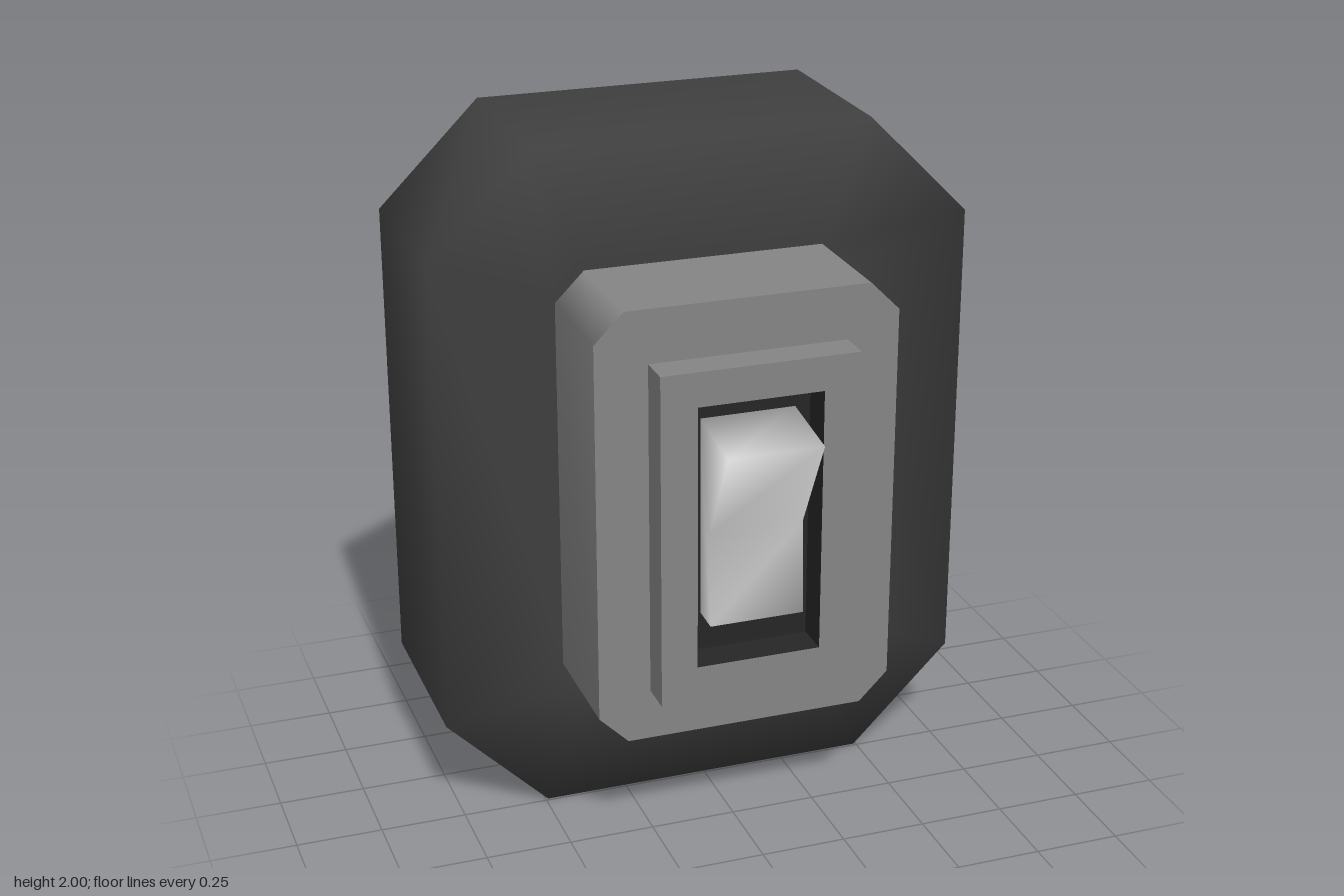
import * as THREE from 'three';
import { mergeVertices } from 'three/addons/utils/BufferGeometryUtils.js';

const paint = (name, color) => {
  const m = new THREE.MeshStandardMaterial({ color });
  m.name = name;
  return m;
};

// Counter-clockwise rectangle with corners cut by c
function outline(w, y0, y1, c) {
  return [
    [w, y0 + c], [w, y1 - c], [w - c, y1], [-w + c, y1],
    [-w, y1 - c], [-w, y0 + c], [-w + c, y0], [w - c, y0],
  ];
}

// Skin joining rings of [points, z], smooth or faceted
function loft(rings, smooth) {
  const pos = [], index = [], n = rings[0][0].length;
  for (const [pts, z] of rings) for (const [x, y] of pts) pos.push(x, y, z);
  for (let r = 0; r < rings.length - 1; r++) {
    for (let i = 0; i < n; i++) {
      const a = r * n + i, b = r * n + (i + 1) % n;
      index.push(a, b, b + n, a, b + n, a + n);
    }
  }
  let g = new THREE.BufferGeometry();
  g.setAttribute('position', new THREE.Float32BufferAttribute(pos, 3));
  g.setIndex(index);
  if (!smooth) g = g.toNonIndexed();
  g.computeVertexNormals();
  return g;
}

const shapeOf = (pts) => new THREE.Shape(pts.map(([x, y]) => new THREE.Vector2(x, y)));

// Flat face at depth z, optionally with a hole
function face(pts, z, hole) {
  const s = shapeOf(pts);
  if (hole) s.holes.push(shapeOf(hole));
  return new THREE.ShapeGeometry(s).translate(0, 0, z);
}

export function createModel() {
  const model = new THREE.Group();
  model.name = 'wallSwitch';
  const body = new THREE.Group();
  body.name = 'switchBody';
  // The whole switch leans forward very slightly
  body.position.y = 1;
  body.rotation.x = 0.0065;
  model.add(body);

  const charcoal = paint('charcoal', 0x3e3e3e);
  const grey = paint('grey', 0x858585);
  const black = paint('black', 0x262626);
  const ivory = paint('paleGrey', 0xd8d8d8);
  const add = (name, geometry, material) => {
    const mesh = new THREE.Mesh(geometry, material);
    mesh.name = name;
    mesh.position.y = -1;
    body.add(mesh);
  };

  const base = outline(0.793, 0, 2, 0.3);
  const plate = outline(0.437, 0.36, 1.645, 0.085);
  const step = outline(0.286, 0.51, 1.49, 0);
  const slot = outline(0.181, 0.615, 1.39, 0);

  // Octagonal housing
  add('housing', loft([[base, -0.562], [base, -0.001], [plate, -0.001]], true), charcoal);
  add('housingBack', face(base, 0).rotateY(Math.PI).translate(0, 0, -0.562), charcoal);

  // Face plate with cut corners
  add('plateSides', loft([[plate, -0.001], [plate, 0.353]], true), grey);
  add('plateFront', face(plate, 0.353, step), grey);

  // Raised frame around the slot
  add('frameSides', loft([[step, 0.353], [step, 0.453]], false), grey);
  add('frameFront', face(step, 0.453, slot), grey);

  // Dark recess
  add('slotWalls', loft([[slot, 0.453], [slot, 0.35]], false), black);
  add('slotFloor', face(slot, 0.35), black);

  // Rocker: side profile as (z, y), extruded across x
  const profile = [[0.34, 1.315], [0.34, 0.73], [0.435, 0.725], [0.422, 1.0], [0.568, 1.28]];
  let rocker = new THREE.ExtrudeGeometry(shapeOf(profile), { depth: 0.274, bevelEnabled: false });
  rocker.translate(0, 0, -0.137).rotateY(-Math.PI / 2);
  rocker.deleteAttribute('normal');
  rocker.deleteAttribute('uv');
  rocker = mergeVertices(rocker, 1e-4);
  // Extrusion axis maps to -x and profile x maps to +z
  rocker.computeVertexNormals();
  add('rocker', rocker, ivory);

  return model;
}
